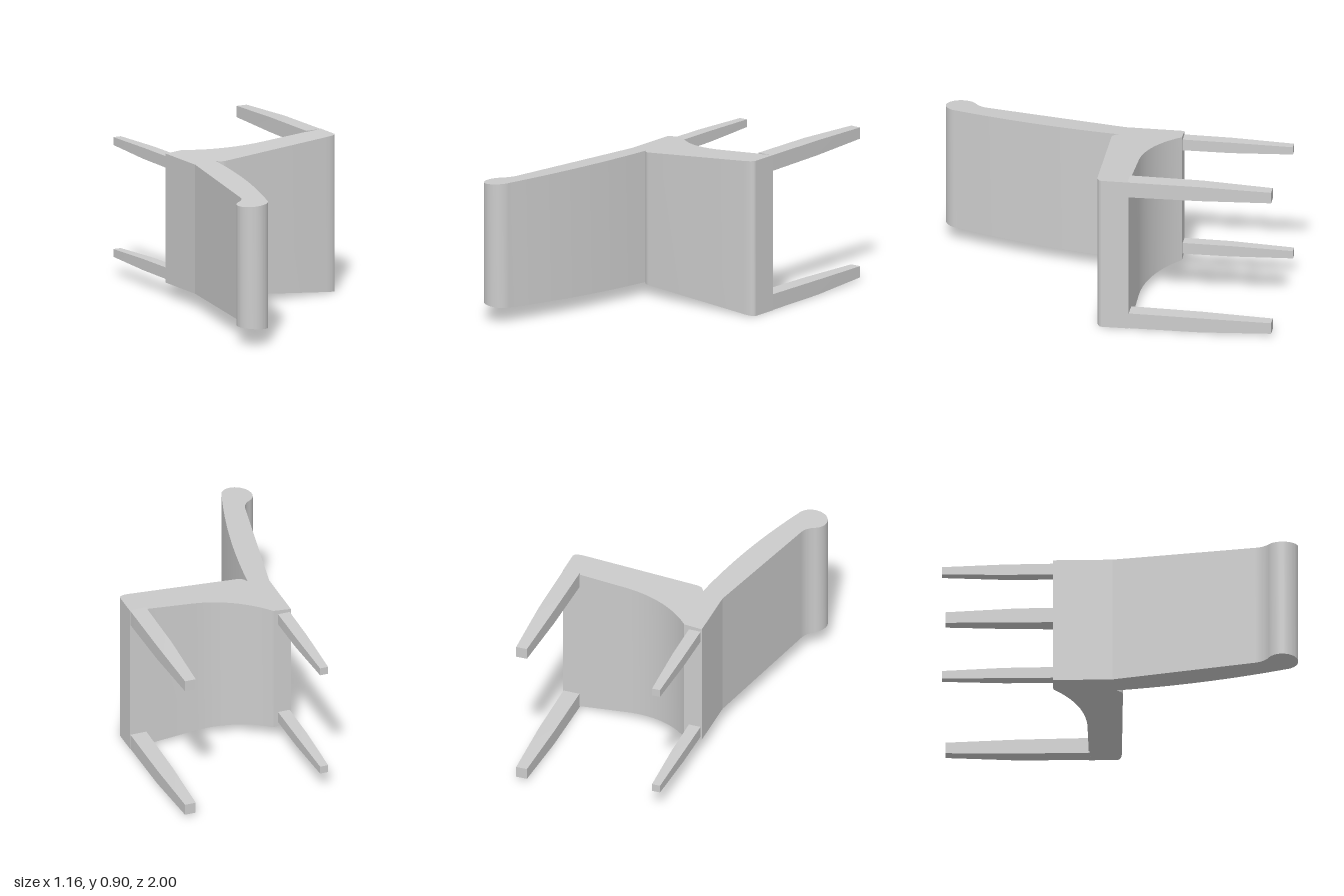
import * as THREE from 'three';
import { toCreasedNormals } from 'three/addons/utils/BufferGeometryUtils.js';

const MID = 0.45; // mirror plane of the chair, which lies on its side
const halfWidth = (x) => 0.398 + 0.0897 * x; // narrows towards the back

export function createModel() {
  const group = new THREE.Group();
  const material = new THREE.MeshStandardMaterial({ color: 0xcccccc });

  function add(name, geometry) {
    const mesh = new THREE.Mesh(geometry, material);
    mesh.name = name;
    group.add(mesh);
  }

  // Extrude a side profile (drawn as x, -z) across the tapering chair width
  function addProfile(name, shape) {
    const geo = new THREE.ExtrudeGeometry(shape, { depth: 1, bevelEnabled: false, curveSegments: 20 });
    geo.rotateX(-Math.PI / 2);
    const p = geo.attributes.position;
    for (let i = 0; i < p.count; i++) {
      p.setY(i, MID + (p.getY(i) - 0.5) * 2 * halfWidth(p.getX(i)));
    }
    add(name, toCreasedNormals(geo, 0.5));
  }

  // Seat frame with the arched underside
  const frame = new THREE.Shape();
  frame.moveTo(-0.315, 0.04);
  frame.lineTo(0.58, 0.04);
  frame.lineTo(0.58, 0.197);
  frame.lineTo(0.2, 0.197);
  frame.bezierCurveTo(0.03, 0.2, -0.11, 0.27, -0.21, 0.378);
  frame.lineTo(-0.315, 0.378);
  frame.closePath();
  addProfile('seatFrame', frame);

  // Thin cushion with rounded front and rear edges
  const cushion = new THREE.Shape();
  cushion.moveTo(-0.2, 0.045);
  cushion.lineTo(-0.19, 0.025);
  cushion.quadraticCurveTo(-0.18, -0.01, -0.14, -0.01);
  cushion.lineTo(0.5, 0.012);
  cushion.quadraticCurveTo(0.58, 0.013, 0.58, 0.045);
  cushion.closePath();
  addProfile('seatCushion', cushion);

  // Raked backrest ending in a rolled top
  const back = new THREE.Shape();
  back.moveTo(-0.2, 0.045);
  back.lineTo(-0.315, 0.045);
  back.lineTo(-0.484, -0.76);
  back.quadraticCurveTo(-0.495, -0.81, -0.541, -0.838);
  back.absarc(-0.494, -0.912, 0.088, 2.14, 6.08, false);
  back.quadraticCurveTo(-0.25, -0.46, -0.192, 0.03);
  back.closePath();
  addProfile('backrest', back);

  // Tapered leg lofted through rows of [z, x0, x1, inner y, outer y]
  function addLeg(name, rows, mirrored) {
    const geo = new THREE.BoxGeometry(1, 1, 1, 1, 1, rows.length - 1);
    const p = geo.attributes.position;
    for (let i = 0; i < p.count; i++) {
      const row = rows[Math.round((0.5 - p.getZ(i)) * (rows.length - 1))];
      const outer = mirrored ? p.getY(i) < 0 : p.getY(i) > 0;
      const y = outer ? row[4] : row[3];
      p.setXYZ(i, p.getX(i) < 0 ? row[1] : row[2], mirrored ? 2 * MID - y : y, row[0]);
    }
    add(name, toCreasedNormals(geo, 0.5));
  }

  const frontLeg = [
    [-0.19, 0.482, 0.578, 0.808, 0.899],
    [-0.6, 0.485, 0.576, 0.812, 0.898],
    [-1, 0.498, 0.562, 0.82, 0.885],
  ];
  const rearLeg = [
    [-0.37, -0.308, -0.238, 0.736, 0.802],
    [-0.65, -0.306, -0.239, 0.737, 0.801],
    [-1, -0.297, -0.249, 0.748, 0.793],
  ];
  for (const mirrored of [false, true]) {
    const side = mirrored ? 'Lower' : 'Upper';
    addLeg('frontLeg' + side, frontLeg, mirrored);
    addLeg('rearLeg' + side, rearLeg, mirrored);
  }
  return group;
}
